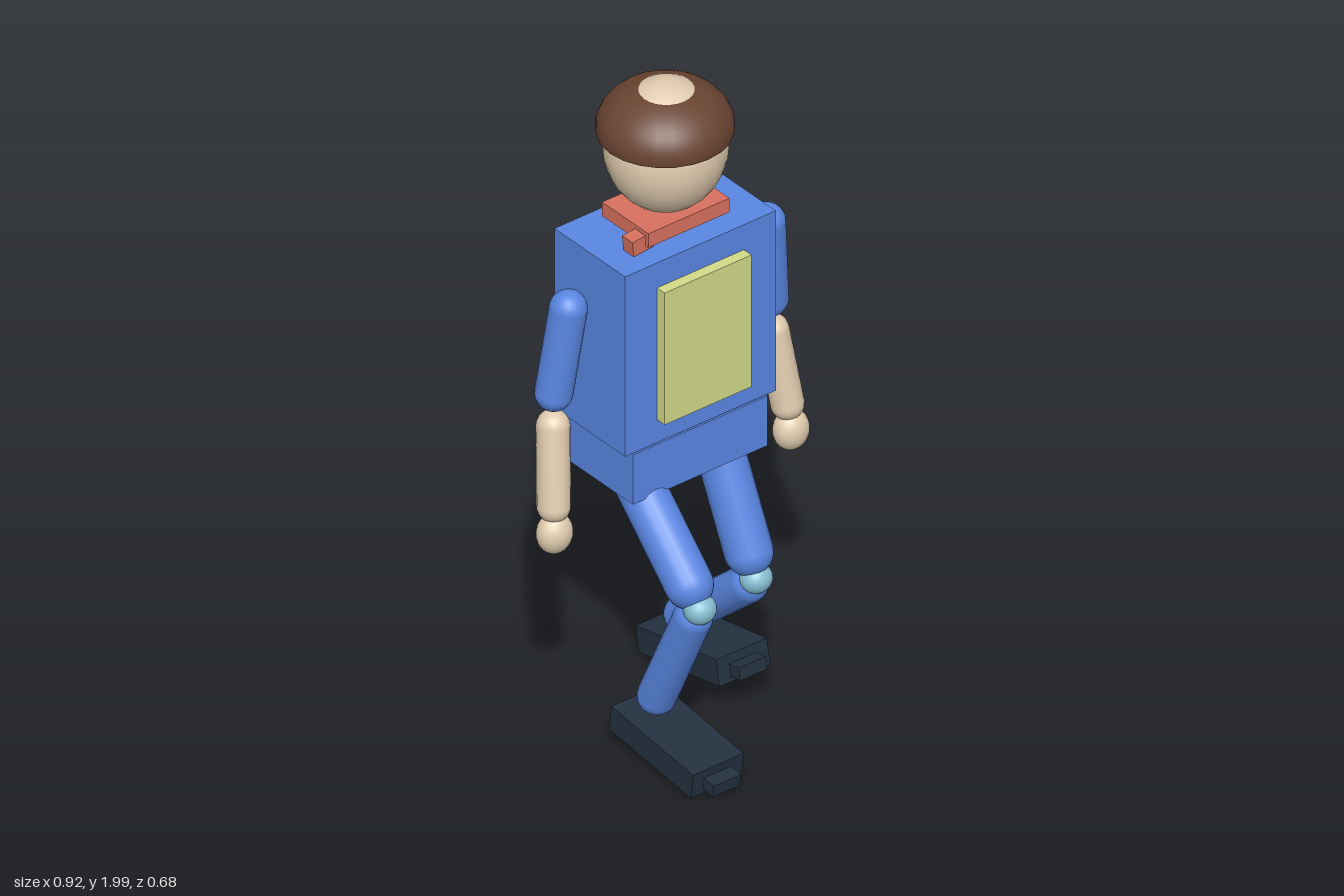
import * as THREE from 'three';

const mat = (name, color, side = THREE.FrontSide) => {
  const m = new THREE.MeshStandardMaterial({ color, side });
  m.name = name;
  return m;
};

export function createModel() {
  const blue = mat('blue cloth', 0x5a87e3);
  const skin = mat('skin', 0xe2cdb0);
  const brown = mat('brown hair', 0x6a4432, THREE.DoubleSide);
  const lime = mat('chest panel yellow', 0xd2da88);
  const red = mat('red scarf', 0xd8705f);
  const teal = mat('knee teal', 0x86bfd2);
  const dark = mat('dark shoe', 0x243140);

  const model = new THREE.Group();
  model.name = 'walkingFigure';

  const add = (name, geometry, material, pos, parent = model) => {
    const mesh = new THREE.Mesh(geometry, material);
    mesh.name = name;
    mesh.position.set(...pos);
    parent.add(mesh);
    return mesh;
  };
  const box = (name, size, material, pos, parent) =>
    add(name, new THREE.BoxGeometry(...size), material, pos, parent);
  const ball = (name, radii, material, pos) => {
    const mesh = add(name, new THREE.SphereGeometry(1, 24, 16), material, pos);
    mesh.scale.set(...radii);
    return mesh;
  };
  // Capsule whose end-cap centres sit at a and b
  const limb = (name, a, b, radius, material) => {
    const start = new THREE.Vector3(...a), end = new THREE.Vector3(...b);
    const dir = end.clone().sub(start);
    const mesh = add(name, new THREE.CapsuleGeometry(radius, dir.length(), 8, 20), material,
      start.clone().add(end).multiplyScalar(0.5).toArray());
    mesh.quaternion.setFromUnitVectors(new THREE.Vector3(0, 1, 0), dir.normalize());
    return mesh;
  };

  // Body
  box('torso', [0.52, 0.58, 0.305], blue, [0, 1.265, -0.128]);
  box('pelvis', [0.465, 0.16, 0.3], blue, [0, 0.889, -0.126]);
  box('chestPanel', [0.3, 0.425, 0.033], lime, [0, 1.262, 0.041]);

  // Scarf with a knot at one side
  box('scarf', [0.28, 0.045, 0.2], red, [0, 1.597, -0.125]);
  box('scarfKnot', [0.07, 0.048, 0.045], red, [-0.148, 1.582, -0.06]).rotation.z = 0.1;

  // Head and open dome of hair; the crown pokes through
  ball('head', [0.173, 0.196, 0.17], skin, [0, 1.804, -0.125]);
  const hair = add('hair', new THREE.SphereGeometry(1, 24, 14, 0, Math.PI * 2, 0, Math.PI * 0.54),
    brown, [0, 1.86, -0.128]);
  hair.scale.set(0.19, 0.13, 0.188);

  // Arms
  for (const [side, s] of [['left', 1], ['right', -1]]) {
    limb(side + 'UpperArm', [s * 0.342, 1.415, -0.118], [s * 0.372, 1.143, -0.143], 0.053, blue);
    limb(side + 'Forearm', [s * 0.378, 1.04, -0.139], [s * 0.403, 0.81, -0.105], 0.047, skin);
    ball(side + 'Hand', [0.053, 0.061, 0.047], skin, [s * 0.408, 0.73, -0.095]);
  }

  // Legs in a bent stride: the right leg is ahead, the left behind
  const legs = [
    { side: 'left', x: 0.15, hip: [0.84, -0.095], thighEnd: [0.512, 0.045], knee: [0.443, 0.077],
      shinTop: [0.41, 0.045], ankle: [0.167, -0.235], foot: [0.155, 0.103, -0.159], pitch: -0.19 },
    { side: 'right', x: -0.158, hip: [0.835, -0.085], thighEnd: [0.597, 0.172], knee: [0.542, 0.22],
      shinTop: [0.5, 0.19], ankle: [0.17, 0.035], foot: [-0.16, 0.066, 0.121], pitch: 0.12 },
  ];
  for (const l of legs) {
    limb(l.side + 'Thigh', [l.x * 0.95, ...l.hip], [l.x, ...l.thighEnd], 0.068, blue);
    ball(l.side + 'Knee', [0.047, 0.043, 0.044], teal, [l.x, ...l.knee]);
    limb(l.side + 'Shin', [l.x, ...l.shinTop], [l.x, ...l.ankle], 0.055, blue);

    const foot = new THREE.Group();
    foot.name = l.side + 'Foot';
    foot.position.set(...l.foot);
    foot.rotation.x = l.pitch;
    box(l.side + 'Shoe', [0.175, 0.08, 0.355], dark, [0, 0, 0], foot);
    box(l.side + 'ToeCap', [0.093, 0.038, 0.06], dark, [0, -0.006, 0.19], foot);
    model.add(foot);
  }

  return model;
}
